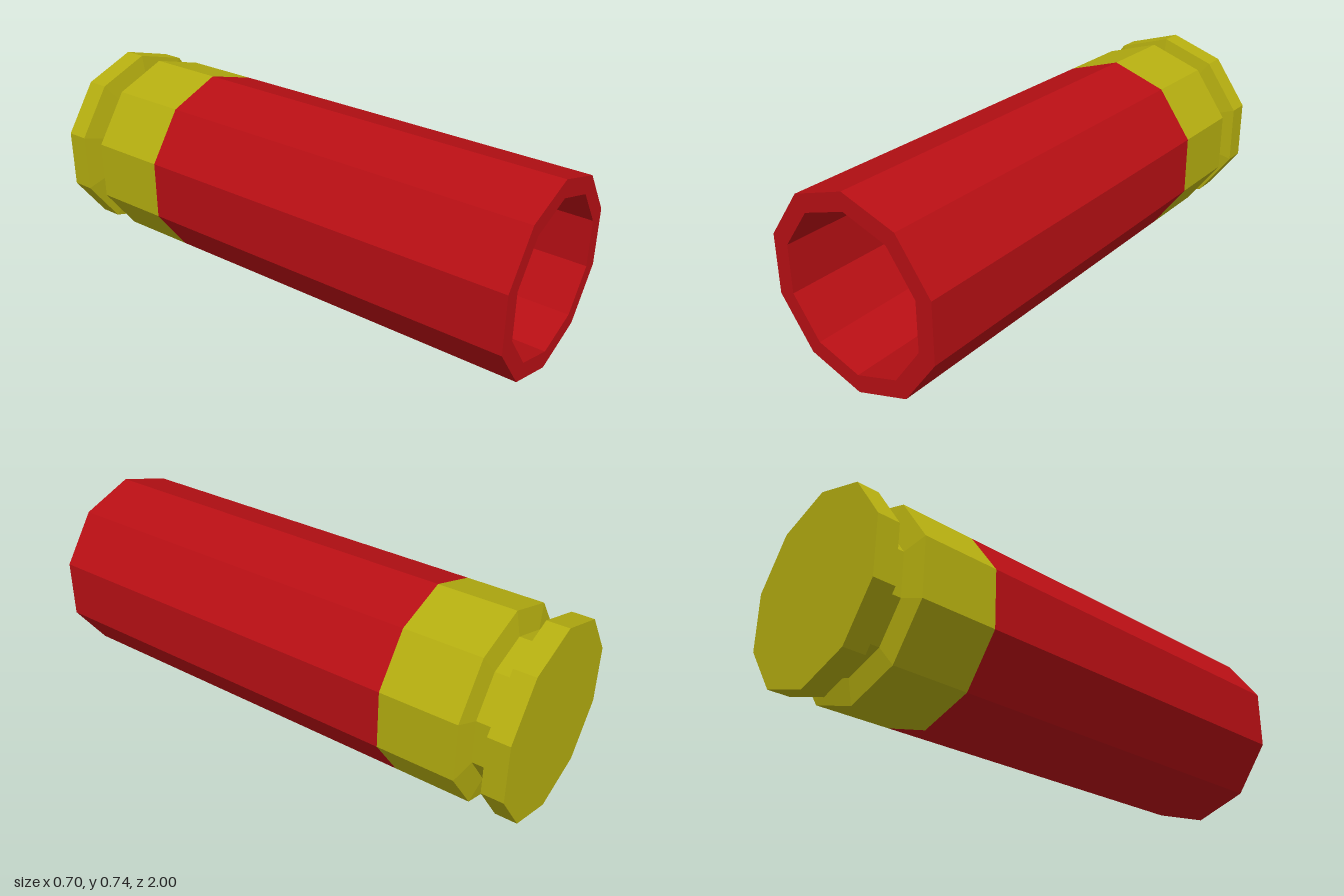
import * as THREE from 'three';

const SIDES = 10;
const CENTRE_Y = 0.369;
const R = 0.368;      // outer radius
const BORE = 0.3;     // inner radius of the tube
const GROOVE = 0.275; // radius at the bottom of the groove
const JOIN_Z = -0.515;

// Ten-sided part turned about the z axis from [radius, z] pairs
function turned(name, color, profile) {
  const points = profile.map(([r, z]) => new THREE.Vector2(r, z));
  const geometry = new THREE.LatheGeometry(points, SIDES);
  geometry.rotateX(Math.PI / 2);
  const material = new THREE.MeshStandardMaterial({ color, flatShading: true });
  const mesh = new THREE.Mesh(geometry, material);
  mesh.name = name;
  mesh.position.y = CENTRE_Y;
  return mesh;
}

export function createModel() {
  const model = new THREE.Group();
  model.name = 'shellCasing';

  // Hollow tube, open at the front, with a closed floor
  model.add(turned('tube', 0xb80f14, [
    [R, JOIN_Z], [R, 1], [BORE, 1], [BORE, JOIN_Z], [0, JOIN_Z],
  ]));

  // Metal base: rim, groove and collar
  model.add(turned('base', 0xb5ae10, [
    [0, -1], [R, -1], [R, -0.917], [GROOVE, -0.9],
    [GROOVE, -0.833], [R, -0.815], [R, JOIN_Z],
  ]));

  return model;
}
